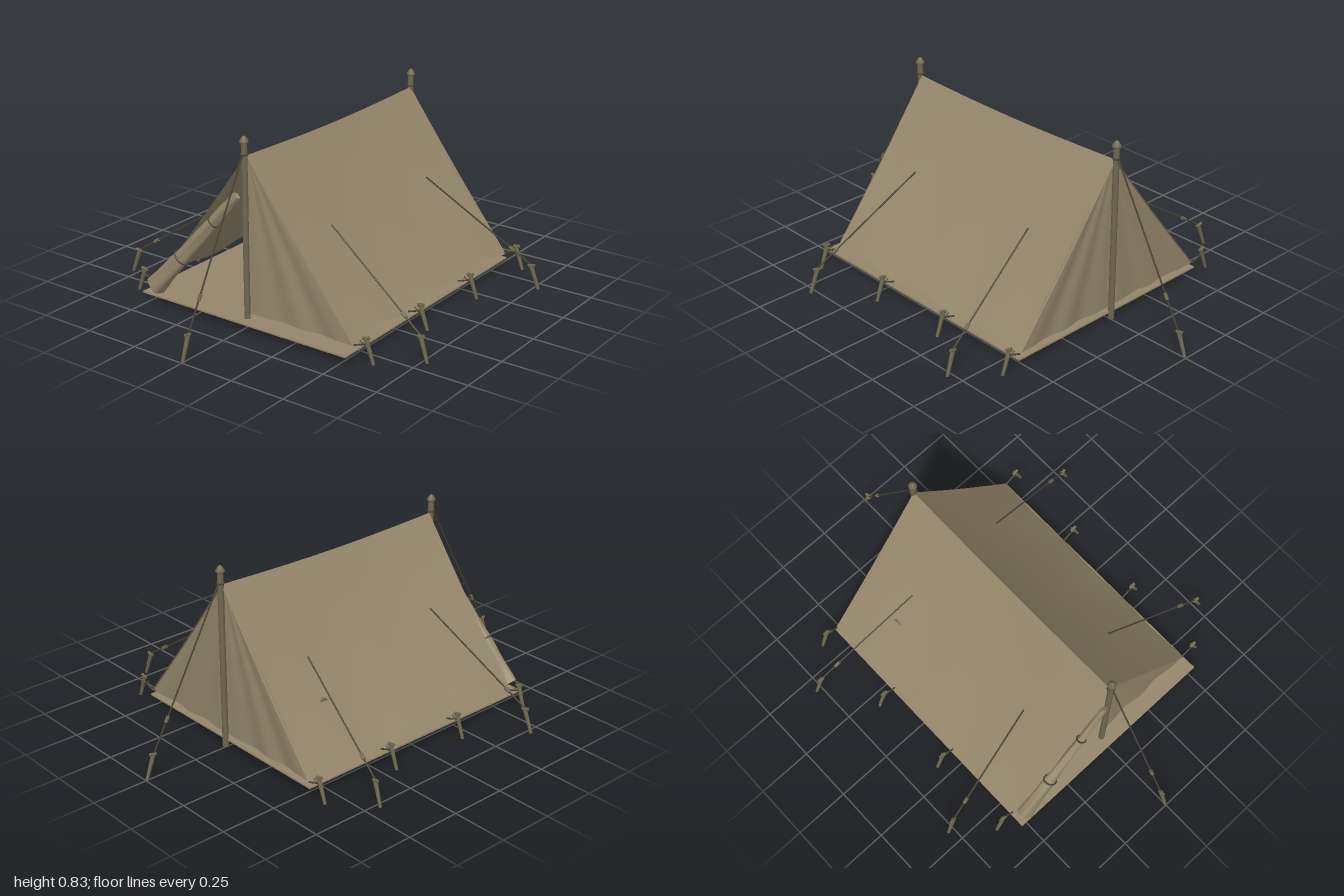
import * as THREE from 'three';
import { RoundedBoxGeometry } from 'three/addons/geometries/RoundedBoxGeometry.js';

const material = (name, color, side = THREE.FrontSide) => {
  const m = new THREE.MeshStandardMaterial({ color, side });
  m.name = name;
  return m;
};
const V = (x, y, z) => new THREE.Vector3(x, y, z);

export function createModel() {
  const tent = new THREE.Group();
  tent.name = 'ridgeTent';
  const canvas = material('canvas', 0x93866a, THREE.DoubleSide);
  const wood = material('wood', 0x6f674f);
  const rope = material('rope', 0x4a4435);
  const packCloth = material('packCloth', 0x777059);
  const red = material('redCloth', 0xa3232e);

  const add = (name, geometry, mat, parent = tent) => {
    const mesh = new THREE.Mesh(geometry, mat);
    mesh.name = name;
    parent.add(mesh);
    return mesh;
  };
  // Straight rod from a to b
  const rod = (name, a, b, ra, rb, mat, sides = 8, parent = tent) => {
    const mesh = add(name, new THREE.CylinderGeometry(rb, ra, a.distanceTo(b), sides), mat, parent);
    mesh.position.copy(a).lerp(b, 0.5);
    mesh.quaternion.setFromUnitVectors(V(0, 1, 0), b.clone().sub(a).normalize());
    return mesh;
  };
  const box = (name, size, pos, radius, mat, parent = tent) => {
    const mesh = add(name, new RoundedBoxGeometry(...size, 3, radius), mat, parent);
    mesh.position.set(...pos);
    return mesh;
  };
  // Cloth surface from a rule (u, v in 0..1) => [x, y, z]
  const cloth = (name, nu, nv, rule) => {
    const g = new THREE.PlaneGeometry(1, 1, nu, nv);
    const p = g.attributes.position;
    for (let i = 0; i < p.count; i++) p.setXYZ(i, ...rule(p.getX(i) + 0.5, p.getY(i) + 0.5));
    g.computeVertexNormals();
    return add(name, g, canvas);
  };
  // Tent peg with a notched head, leaning away along (dx, dz)
  const peg = (x, z, dx, dz) => {
    const g = new THREE.Group();
    g.name = 'peg';
    tent.add(g);
    const top = V(x, 0.11, z), foot = V(x + dx * 0.038, 0.004, z + dz * 0.038);
    rod('pegShaft', foot, top, 0.007, 0.01, wood, 6, g);
    rod('pegHook', V(x - dx * 0.012, 0.106, z - dz * 0.012), V(x + dx * 0.018, 0.112, z + dz * 0.018), 0.007, 0.007, wood, 6, g);
  };
  // Guy line with a slider, ending at a peg
  const guyLine = (from, to, dx, dz, t) => {
    rod('guyLine', from, to, 0.0035, 0.0035, rope, 6);
    const c = from.clone().lerp(to, t);
    const along = to.clone().sub(from).normalize().multiplyScalar(0.014);
    rod('lineSlider', c.clone().sub(along), c.clone().add(along), 0.008, 0.008, wood, 6);
    peg(to.x, to.z, dx, dz);
  };

  // Ground sheet
  add('groundSheet', new THREE.BoxGeometry(1.06, 0.007, 1.235), canvas).position.set(0, 0.039, 0.0275);

  // Roof halves: sagging ridge, scalloped hems between the pegs
  for (const s of [-1, 1]) {
    cloth('roofSide', 14, 36, (u, v) => {
      const scallop = Math.sin(v * Math.PI * 3) ** 2;
      const mid = Math.sin(v * Math.PI);
      const ridge = 0.742 - 0.014 * mid;
      const hem = 0.058 + 0.026 * scallop;
      const sag = Math.sin(u * Math.PI) * (0.006 + 0.016 * mid);
      return [
        s * (u * (0.525 - 0.015 * scallop) - sag * 0.4),
        ridge + (hem - ridge) * u - sag,
        -0.59 + v * 1.172,
      ];
    });
  }

  // End walls: triangles with soft pleats fanning from the apex
  const endWall = (name, s, z, out) => cloth(name, 24, 12, (u, v) => {
    const drop = 1 - v;
    const pleat = Math.sin(u * Math.PI * 5) * Math.sin(u * Math.PI) * 0.007 * drop;
    return [s * u * 0.522 * drop, 0.735 - 0.677 * drop, z + out * (pleat - 0.006 * Math.sin(u * Math.PI) * drop)];
  });
  endWall('backWall', 1, -0.578, -1);
  endWall('backWall', -1, -0.578, -1);
  endWall('frontDoor', 1, 0.577, 1);

  // Rolled-up door flap, lumpy and tapering towards the apex
  const rollFoot = V(-0.485, 0.065, 0.614), rollTop = V(-0.033, 0.572, 0.602);
  const roll = rod('rolledDoor', rollFoot, rollTop, 0.042, 0.017, canvas, 18);
  roll.geometry.dispose();
  const rollShape = new THREE.CylinderGeometry(0.017, 0.042, rollFoot.distanceTo(rollTop), 18, 14);
  const rp = rollShape.attributes.position;
  for (let i = 0; i < rp.count; i++) {
    const a = Math.atan2(rp.getZ(i), rp.getX(i)), y = rp.getY(i);
    const k = 1 + 0.1 * Math.sin(a * 4 + y * 9) + 0.05 * Math.sin(y * 34);
    rp.setXYZ(i, rp.getX(i) * k, y, rp.getZ(i) * k * 0.68);
  }
  rollShape.computeVertexNormals();
  roll.geometry = rollShape;
  for (const t of [0.33, 0.72]) {
    const tie = add('rollTie', new THREE.TorusGeometry(0.042 - 0.025 * t + 0.002, 0.004, 6, 20), rope);
    tie.position.copy(rollFoot).lerp(rollTop, t);
    tie.quaternion.copy(roll.quaternion).multiply(new THREE.Quaternion().setFromAxisAngle(V(1, 0, 0), Math.PI / 2));
    tie.scale.y = 0.75;
  }

  // Poles with pointed caps, and the end guy lines
  const poleProfile = [[0, 0.008], [0.013, 0.008], [0.013, 0.795], [0.019, 0.798], [0.019, 0.806], [0.009, 0.822], [0, 0.828]];
  for (const s of [-1, 1]) {
    const pole = add('pole', new THREE.LatheGeometry(poleProfile.map(([x, y]) => new THREE.Vector2(x, y)), 10), wood);
    pole.position.z = s * 0.592;
    const knot = add('ropeKnot', new THREE.TorusGeometry(0.014, 0.004, 6, 14), rope);
    knot.rotation.x = Math.PI / 2;
    knot.position.set(0, 0.75, s * 0.592);
    guyLine(V(0, 0.75, s * 0.602), V(0, 0.105, s * 0.957), 0, s, 0.79);
  }

  // Side guy lines and hem pegs
  for (const sx of [-1, 1]) {
    for (const sz of [-1, 1]) {
      guyLine(V(sx * 0.248, 0.433, sz * 0.35), V(sx * 0.738, 0.112, sz * 0.434), sx, sz * 0.15, 0.82);
    }
    for (const z of [-0.585, -0.195, 0.19, 0.575]) {
      rod('hemLoop', V(sx * 0.518, 0.062, z), V(sx * 0.583, 0.085, z), 0.0035, 0.0035, rope, 6);
      rod('hemLoop', V(sx * 0.55, 0.092, z), V(sx * 0.583, 0.07, z), 0.003, 0.003, rope, 6);
      peg(sx * 0.577, z, sx, 0);
    }
  }

  // Backpack
  const pack = new THREE.Group();
  pack.name = 'backpack';
  tent.add(pack);
  box('packBody', [0.16, 0.2, 0.11], [-0.25, 0.143, -0.352], 0.025, packCloth, pack);
  box('packLid', [0.165, 0.028, 0.12], [-0.248, 0.25, -0.352], 0.012, packCloth, pack);
  box('packPocket', [0.115, 0.075, 0.03], [-0.235, 0.135, -0.293], 0.013, packCloth, pack);
  rod('packBedroll', V(-0.348, 0.262, -0.352), V(-0.168, 0.262, -0.352), 0.022, 0.022, packCloth, 14, pack);
  for (const x of [-0.29, -0.195]) box('packStrap', [0.012, 0.19, 0.118], [x, 0.145, -0.352], 0.004, rope, pack);

  // Sleeping bag, pillow and a small box
  box('sleepingBag', [0.33, 0.03, 0.4], [0.085, 0.056, 0.18], 0.013, red);
  const pillow = box('pillow', [0.2, 0.05, 0.11], [-0.02, 0.112, -0.08], 0.022, red);
  pillow.rotation.z = 0.45;
  box('pillowBase', [0.18, 0.045, 0.11], [0.01, 0.066, -0.08], 0.018, red);
  box('smallBox', [0.06, 0.045, 0.05], [-0.05, 0.094, 0.0], 0.008, packCloth);

  return tent;
}
